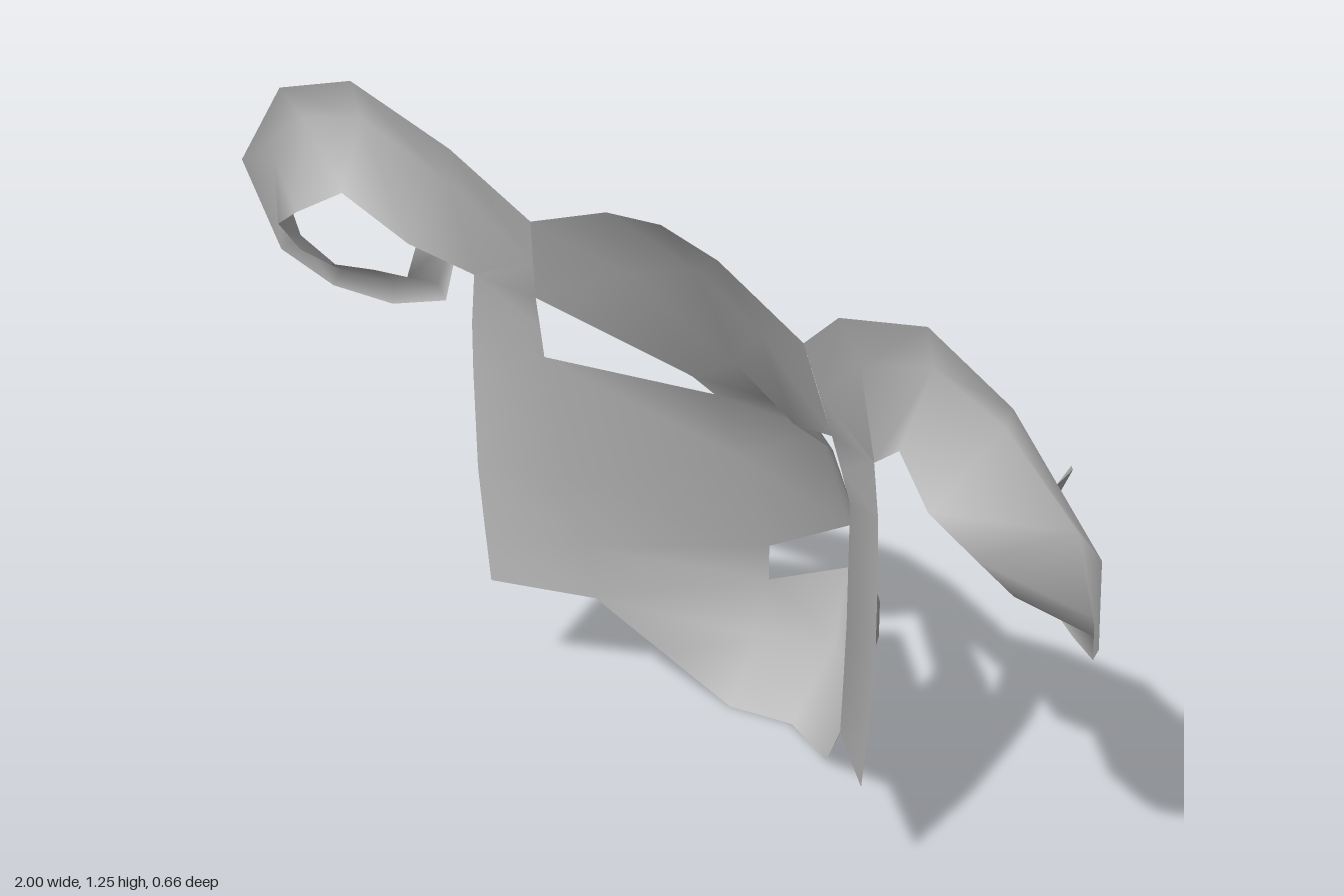
import * as THREE from 'three';
import { mergeVertices } from 'three/addons/utils/BufferGeometryUtils.js';

// Smooth sheet from rows of points; `skip` lists open cells, `extra` adds single triangles.
// sides: 1 = left half, -1 = right half (mirrored, winding reversed).
function sheet(rows, sides, skip = [], extra = []) {
  const pos = [];
  const tri = (s, a, b, c) => {
    for (const p of s > 0 ? [a, b, c] : [a, c, b]) pos.push(p[0] * s, p[1], p[2]);
  };
  for (const s of sides) {
    for (let r = 0; r < rows.length - 1; r++) {
      for (let c = 0; c < rows[r].length - 1; c++) {
        if (skip.includes(`${r},${c}`)) continue;
        const a = rows[r][c], b = rows[r][c + 1], d = rows[r + 1][c + 1], e = rows[r + 1][c];
        if (!a || !b || !d || !e) continue;
        tri(s, a, b, e);
        if (d !== e) tri(s, b, d, e);
      }
    }
    for (const t of extra) tri(s, ...t);
  }
  const g = new THREE.BufferGeometry();
  g.setAttribute('position', new THREE.Float32BufferAttribute(pos, 3));
  const merged = mergeVertices(g, 1e-4);
  merged.computeVertexNormals();
  return merged;
}

export function createModel() {
  const group = new THREE.Group();
  const grey = new THREE.MeshStandardMaterial({ color: 0xb8b8b8, side: THREE.DoubleSide });
  grey.name = 'plain grey';
  const add = (name, geometry) => {
    const mesh = new THREE.Mesh(geometry, grey);
    mesh.name = name;
    group.add(mesh);
  };

  // Face: rows from brow to chin, each from the midline out to the cheek edge
  const temple = [0.32, 1.055, 0.15], eyeTop = [0.353, 0.885, 0.115], edgeTop = [0.475, 0.9, 0.15];
  const hornRoot = [0.3375, 0.965, 0.131];
  const chin = [0.125, 0, -0.14];
  const face = [
    [[0, 1.155, 0.15], [0.13, 1.135, 0.15], temple, null],
    [[0, 1.045, 0.07], [0.15, 0.985, 0.075], eyeTop, edgeTop],
    [[0, 0.83, -0.027], [0.123, 0.755, -0.042], [0.361, 0.82, 0.1], [0.487, 0.8, 0.15]],
    [[0, 0.71, -0.145], [0.144, 0.68, -0.12], [0.369, 0.75, 0.085], [0.49, 0.7, 0.15]],
    [[0, 0.61, -0.245], [0.135, 0.52, -0.19], [0.35, 0.5, 0.065], [0.49, 0.5, 0.15]],
    [[0, 0.375, -0.33], [0.14, 0.3, -0.262], [0.325, 0.35, 0.042], [0.477, 0.36, 0.15]],
    [[0, 0.283, -0.33], [0.14, 0.225, -0.262], [0.31, 0.24, 0.03], [0.467, 0.265, 0.15]],
    [[0, 0.125, -0.295], [0.13, 0.115, -0.23], [0.218, 0.12, -0.055], null],
    [[0, 0, -0.18], chin, chin, null],
  ];
  // Openings: eye (1,1 and 2,1) and mouth (5,0); triangles close the brow above the eye
  add('maskFace', sheet(face, [1, -1], ['1,1', '2,1', '5,0'],
    [[face[1][1], eyeTop, face[2][1]], [hornRoot, edgeTop, eyeTop]]));

  // Curled horn: cross-sections of outer rim, crease and inner edge, from root to tip
  const sections = [
    [temple, hornRoot, edgeTop],
    [[0.45, 1.17, 0.213], [0.48, 1.095, 0.195], [0.55, 0.965, 0.235]],
    [[0.66, 1.245, 0.252], [0.66, 1.17, 0.235], [0.65, 1.05, 0.295]],
    [[0.84, 1.185, 0.27], [0.81, 1.13, 0.245], [0.74, 0.995, 0.33]],
    [[1, 0.99, 0.25], [0.935, 1, 0.225], [0.82, 0.94, 0.312]],
    [[0.97, 0.8, 0.2], [0.94, 0.83, 0.175], [0.845, 0.86, 0.25]],
    [[0.91, 0.72, 0.13], [0.9, 0.75, 0.115], [0.865, 0.795, 0.17]],
    [[0.82, 0.688, 0.062], [0.82, 0.73, 0.055], [0.81, 0.78, 0.11]],
    [[0.71, 0.72, 0.023], [0.735, 0.745, 0.02], [0.75, 0.775, 0.08]],
    [[0.69, 0.84, 0.003], [0.71, 0.84, 0.003], [0.728, 0.85, 0.07]],
    [[0.75, 0.945, 0.003], [0.755, 0.94, 0.005], [0.76, 0.93, 0.065]],
  ];
  // Turn sections into strips running along the horn
  const strips = [0, 1, 2].map((k) => sections.map((p) => p[k]));
  add('leftHorn', sheet(strips, [1]));
  add('rightHorn', sheet(strips, [-1]));
  return group;
}
